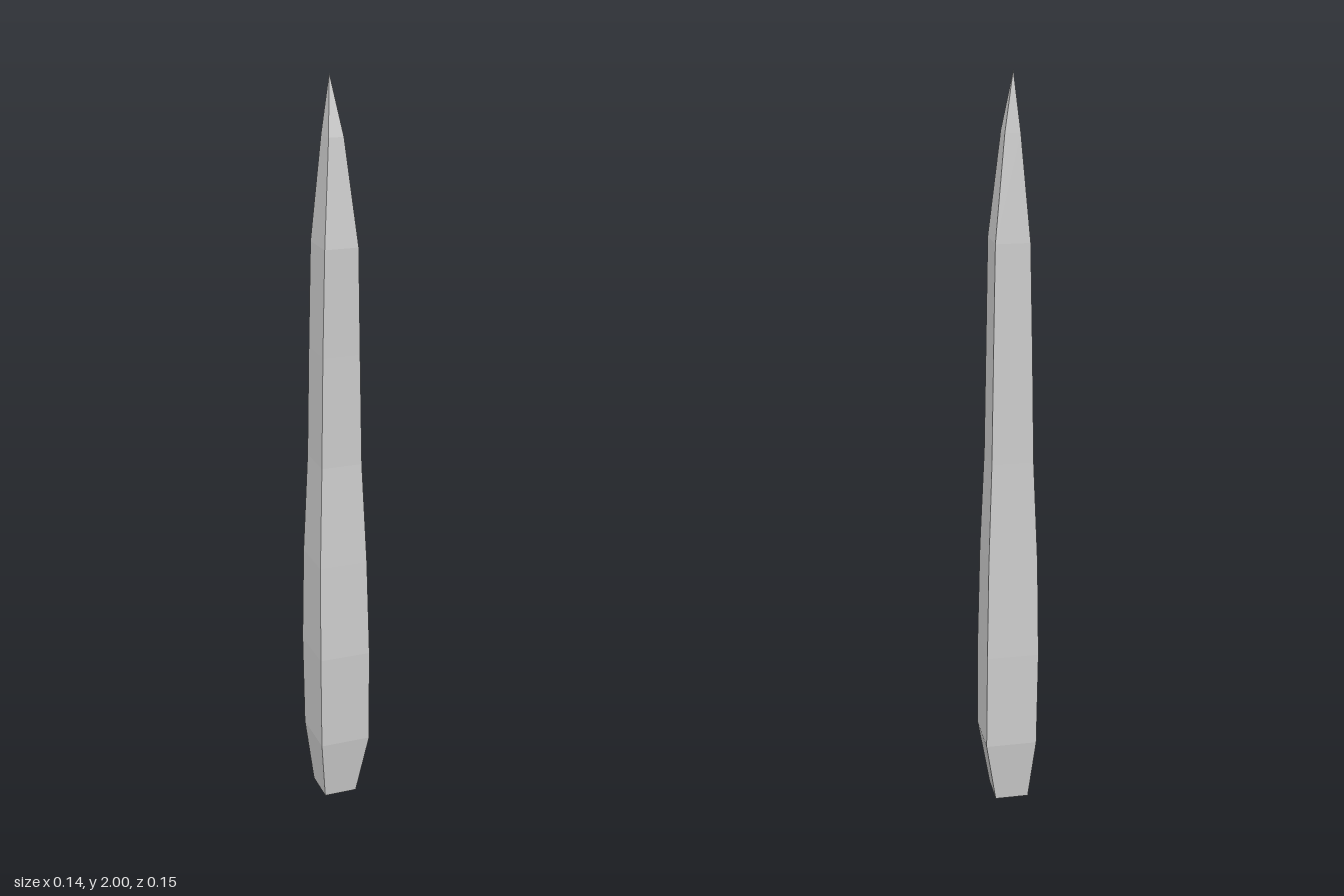
import * as THREE from 'three';

// Cross-sections from base to shoulder: height, x min, x max, z min, z max
const sections = [
  [0, -0.05, 0.042, -0.053, 0.045],
  [0.18, -0.069, 0.071, -0.075, 0.072],
  [0.45, -0.073, 0.068, -0.077, 0.077],
  [0.72, -0.07, 0.062, -0.071, 0.068],
  [1.0, -0.06, 0.051, -0.061, 0.054],
  [1.3, -0.056, 0.045, -0.057, 0.053],
  [1.58, -0.051, 0.039, -0.053, 0.055],
  [1.85, -0.029, 0.011, -0.033, 0.023],
];
const tip = [-0.013, 2, -0.017];

// Four-sided tapering shard, closed at the base and pointed at the top
function shardGeometry() {
  const points = [];
  const faces = [];
  for (const [y, x0, x1, z0, z1] of sections) {
    points.push(x0, y, z1, x1, y, z1, x1, y, z0, x0, y, z0);
  }
  points.push(...tip);
  const last = sections.length - 1;
  for (let i = 0; i < 4; i++) {
    const j = (i + 1) % 4;
    for (let r = 0; r < last; r++) {
      const a = r * 4 + i, b = r * 4 + j;
      faces.push(a, b, b + 4, a, b + 4, a + 4);
    }
    faces.push(last * 4 + i, last * 4 + j, last * 4 + 4);
  }
  faces.push(0, 3, 2, 0, 2, 1); // base
  const geometry = new THREE.BufferGeometry();
  geometry.setAttribute('position', new THREE.Float32BufferAttribute(points, 3));
  geometry.setIndex(faces);
  const flat = geometry.toNonIndexed();
  flat.computeVertexNormals();
  return flat;
}

export function createModel() {
  const group = new THREE.Group();
  group.name = 'spike';
  const material = new THREE.MeshStandardMaterial({ color: 0xcccccc, flatShading: true });
  const shard = new THREE.Mesh(shardGeometry(), material);
  shard.name = 'shard';
  group.add(shard);
  return group;
}
